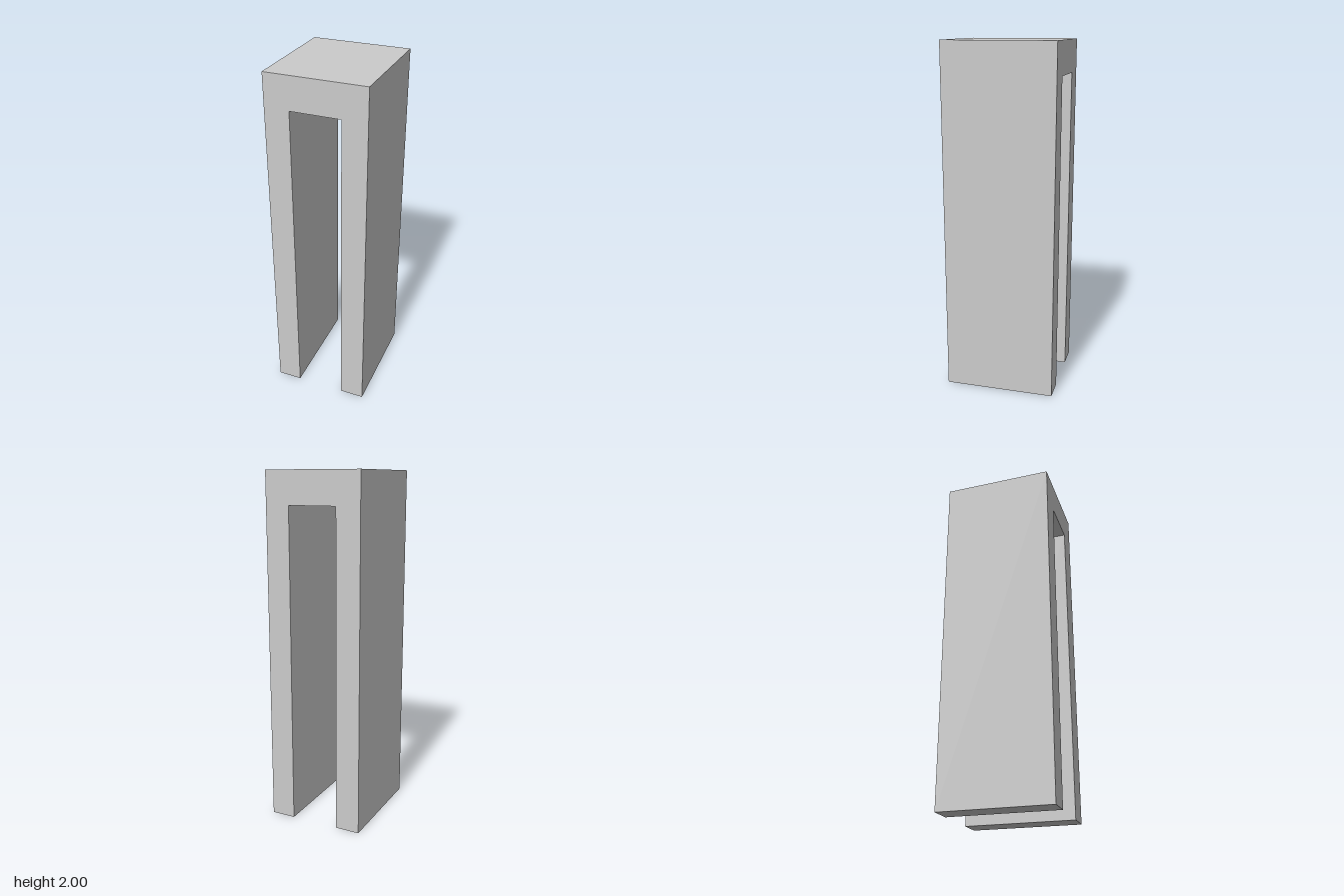
import * as THREE from 'three';

const WIDTH = 0.562, HEIGHT = 2, DEPTH = 0.632;
const OPENING_WIDTH = 0.281, OPENING_HEIGHT = 1.815;

export function createModel() {
  const group = new THREE.Group();
  group.name = 'archway';

  // Square-headed arch outline: two legs joined by a lintel
  const outer = WIDTH / 2, inner = OPENING_WIDTH / 2;
  const outline = new THREE.Shape([
    [-outer, 0], [-inner, 0], [-inner, OPENING_HEIGHT], [inner, OPENING_HEIGHT],
    [inner, 0], [outer, 0], [outer, HEIGHT], [-outer, HEIGHT],
  ].map(([x, y]) => new THREE.Vector2(x, y)));

  // Extruded front to back and centred on z
  const geometry = new THREE.ExtrudeGeometry(outline, { depth: DEPTH, bevelEnabled: false });
  geometry.translate(0, 0, -DEPTH / 2);

  const arch = new THREE.Mesh(
    geometry,
    new THREE.MeshStandardMaterial({ color: 0xcccccc, flatShading: true }),
  );
  arch.name = 'archBody';
  group.add(arch);
  return group;
}
